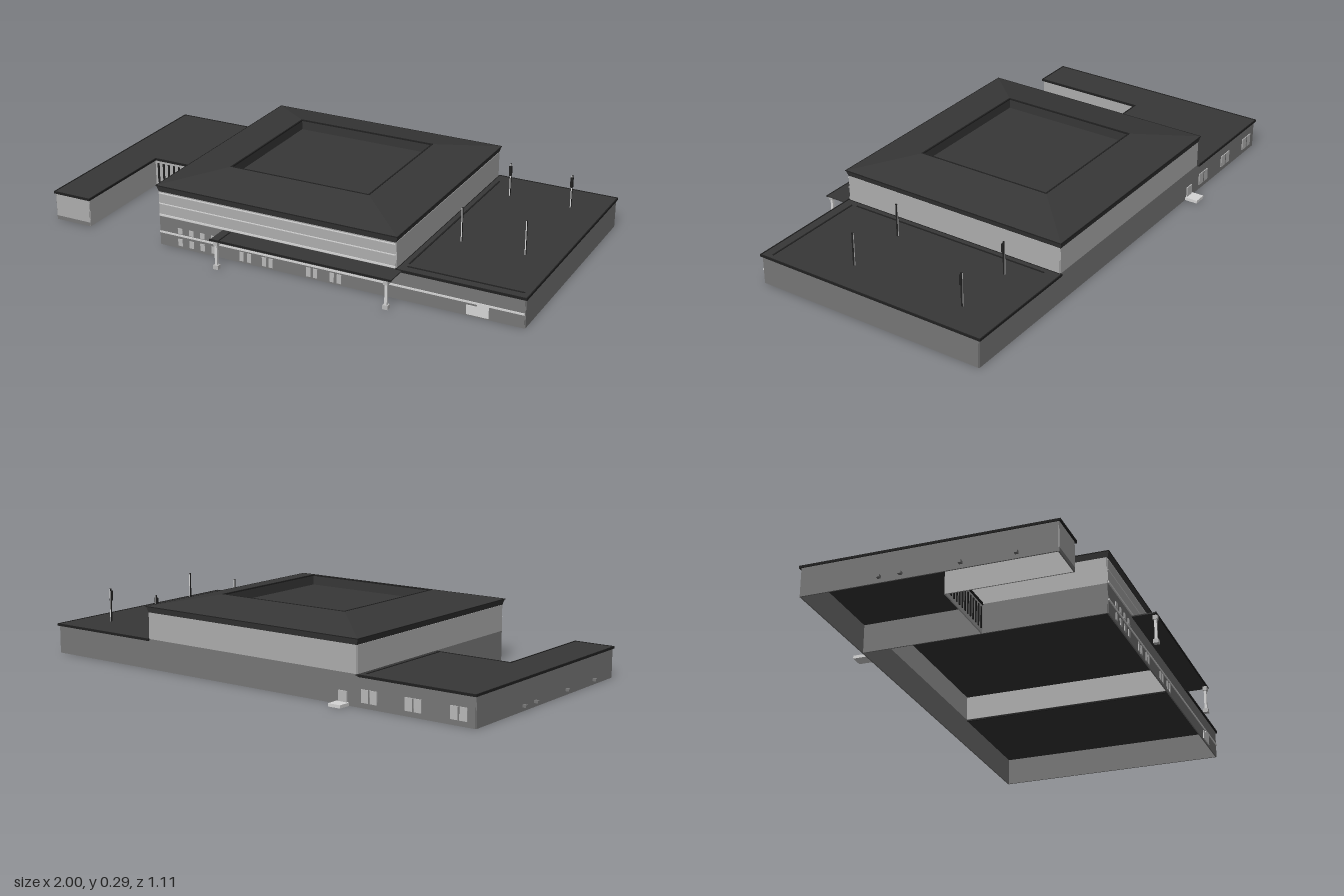
import * as THREE from 'three';

const mat = (name, color, side = THREE.FrontSide) => {
  const m = new THREE.MeshStandardMaterial({ color, side });
  m.name = name;
  return m;
};

export function createModel() {
  const roofMat = mat('roof charcoal', 0x373737);
  const trimMat = mat('dark trim', 0x202020);
  const wallMat = mat('lower wall grey', 0x777777);
  const upperMat = mat('upper wall grey', 0xadadad);
  const paleMat = mat('pale trim', 0xd6d6d6);
  const glassMat = mat('window grey', 0xb9b9b9);

  const model = new THREE.Group();
  model.name = 'hall';
  const group = (name) => {
    const g = new THREE.Group();
    g.name = name;
    model.add(g);
    return g;
  };
  // box given by its limits on each axis
  const box = (parent, name, x0, x1, y0, y1, z0, z1, m) => {
    const mesh = new THREE.Mesh(new THREE.BoxGeometry(x1 - x0, y1 - y0, z1 - z0), m);
    mesh.position.set((x0 + x1) / 2, (y0 + y1) / 2, (z0 + z1) / 2);
    mesh.name = name;
    parent.add(mesh);
    return mesh;
  };
  const T = 0.005;
  // thin walls, one along x and one along z
  const wallX = (p, name, x0, x1, z, y0, y1, m) => box(p, name, x0, x1, y0, y1, z - T / 2, z + T / 2, m);
  const wallZ = (p, name, x, z0, z1, y0, y1, m) => box(p, name, x - T / 2, x + T / 2, y0, y1, z0, z1, m);
  // four strips lying around a rectangle
  const frame = (p, name, x0, x1, z0, z1, y0, y1, w, m) => {
    for (const z of [z0, z1 - w]) box(p, name, x0, x1, y0, y1, z, z + w, m);
    for (const x of [x0, x1 - w]) box(p, name, x, x + w, y0, y1, z0 + w, z1 - w, m);
  };

  const EAVE = 0.113, DECK = 0.118;
  const BACK = -0.5, FRONT = 0.453;

  // main hall walls
  const hall = group('mainHall');
  for (const z of [BACK, FRONT]) {
    wallX(hall, 'hallLowerWall', -0.49, 0.5, z, 0, DECK, wallMat);
    wallX(hall, 'hallUpperWall', -0.49, 0.5, z, DECK, 0.222, upperMat);
  }
  wallZ(hall, 'hallLeftLowerWall', -0.49, BACK, FRONT, 0, DECK, wallMat);
  for (const x of [-0.49, 0.5]) wallZ(hall, 'hallSideUpperWall', x, BACK, FRONT, DECK, 0.222, upperMat);

  // hipped roof with a sunken flat centre, from stacked rectangles
  const loops = [
    [-0.49, 0.5, -0.502, 0.456, 0.22],
    [-0.498, 0.508, -0.508, 0.463, 0.245],
    [-0.288, 0.296, -0.305, 0.26, 0.287],
    [-0.285, 0.293, -0.302, 0.257, 0.287],
    [-0.285, 0.293, -0.302, 0.257, 0.247],
  ].map(([x0, x1, z0, z1, y]) => [[x0, y, z1], [x1, y, z1], [x1, y, z0], [x0, y, z0]]);
  const pos = [];
  const quad = (a, b, c, d) => pos.push(...a, ...b, ...c, ...a, ...c, ...d);
  for (let i = 0; i + 1 < loops.length; i++)
    for (let k = 0; k < 4; k++) {
      const n = (k + 1) % 4;
      quad(loops[i][k], loops[i][n], loops[i + 1][n], loops[i + 1][k]);
    }
  quad(...loops[loops.length - 1]);
  quad(...[...loops[0]].reverse());
  const roofGeo = new THREE.BufferGeometry();
  roofGeo.setAttribute('position', new THREE.Float32BufferAttribute(pos, 3));
  roofGeo.computeVertexNormals();
  const roof = new THREE.Mesh(roofGeo, roofMat);
  roof.name = 'mainRoof';
  hall.add(roof);
  frame(hall, 'roofWellEdge', -0.29, 0.298, -0.307, 0.262, 0.283, 0.288, 0.006, trimMat);
  frame(hall, 'eaveLine', -0.499, 0.509, -0.509, 0.464, 0.243, 0.246, 0.003, trimMat);

  // low wing at +x
  const wing = group('lowWing');
  for (const z of [BACK, FRONT]) wallX(wing, 'wingWall', 0.5, 0.992, z, 0, EAVE, wallMat);
  wallZ(wing, 'wingEndWall', 0.992, BACK, FRONT, 0, EAVE, wallMat);
  box(wing, 'wingRoof', 0.5, 0.997, EAVE, DECK, -0.508, 0.46, roofMat);
  frame(wing, 'wingRoofEdge', 0.5, 0.999, -0.51, 0.462, EAVE - 0.002, DECK + 0.002, 0.004, trimMat);
  box(wing, 'sideGutter', 0.524, 0.53, DECK, DECK + 0.002, -0.45, 0.4, trimMat);
  box(wing, 'frontGutter', 0.53, 0.975, DECK, DECK + 0.002, 0.418, 0.424, trimMat);

  // roof masts, pale faced with dark sides
  for (const x of [0.615, 0.865])
    for (const z of [-0.34, 0.135]) {
      const sides = [trimMat, trimMat, trimMat, trimMat, paleMat, paleMat];
      box(wing, 'mast', x - 0.002, x + 0.002, DECK, 0.252, z - 0.004, z + 0.004, sides);
      if (z < 0) box(wing, 'mastHead', x - 0.005, x + 0.005, 0.203, 0.243, z - 0.002, z + 0.008, trimMat);
    }

  // L-shaped wing at -x
  const ell = group('ellWing');
  wallX(ell, 'ellBackWall', -0.98, -0.49, BACK, 0, EAVE, wallMat);
  wallZ(ell, 'ellOuterWall', -0.98, BACK, 0.445, 0, EAVE, wallMat);
  wallX(ell, 'ellEndWall', -0.98, -0.825, 0.445, 0.016, EAVE, upperMat);
  wallX(ell, 'ellEndPlinth', -0.98, -0.825, 0.445, 0, 0.016, wallMat);
  wallZ(ell, 'ellInnerWall', -0.825, -0.025, 0.445, 0, EAVE, upperMat);
  wallX(ell, 'courtWall', -0.825, -0.49, -0.025, 0, EAVE, upperMat);
  box(ell, 'ellRoof', -0.984, -0.49, EAVE, DECK, -0.508, -0.02, roofMat);
  box(ell, 'ellArmRoof', -0.984, -0.82, EAVE, DECK, -0.02, 0.452, roofMat);
  const edge = (x0, x1, z0, z1) => box(ell, 'ellRoofEdge', x0, x1, EAVE - 0.002, DECK + 0.002, z0, z1, trimMat);
  edge(-0.986, -0.5, -0.51, -0.506);
  edge(-0.986, -0.982, -0.506, 0.454);
  edge(-0.982, -0.818, 0.45, 0.454);
  edge(-0.822, -0.818, -0.018, 0.45);
  edge(-0.822, -0.5, -0.022, -0.018);
  box(ell, 'ellGutter', -0.518, -0.513, DECK, DECK + 0.002, -0.48, -0.022, trimMat);
  for (let i = 0; i < 13; i++) {
    const x = -0.807 + i * 0.0248;
    box(ell, 'courtBar', x - 0.004, x + 0.004, 0.015, 0.1, -0.023, -0.019, trimMat);
  }
  for (const x of [-0.545, -0.73, -0.915]) {
    box(ell, 'backWindow', x - 0.034, x + 0.034, 0.02, 0.068, -0.506, -0.502, glassMat);
    box(ell, 'backWindowBar', x - 0.003, x + 0.003, 0.02, 0.068, -0.507, -0.506, wallMat);
  }
  for (const z of [-0.2, -0.12, 0.1, 0.3])
    box(ell, 'wallVent', -0.998, -0.98, 0.015, 0.025, z - 0.006, z + 0.006, wallMat);

  // front canopy on two posts
  const canopy = group('canopy');
  box(canopy, 'canopyRoof', -0.212, 0.525, EAVE, DECK, 0.455, 0.546, roofMat);
  box(canopy, 'canopyFascia', -0.214, 0.527, EAVE - 0.001, DECK + 0.001, 0.546, 0.55, trimMat);
  box(canopy, 'canopySeam', -0.178, -0.174, DECK, DECK + 0.002, 0.463, 0.546, trimMat);
  for (const x of [-0.19, 0.505]) {
    const block = (name, r, y0, y1, m) => box(canopy, name, x - r, x + r, y0, y1, 0.541 - r, 0.541 + r, m);
    block('postBase', 0.01, 0, 0.016, glassMat);
    block('post', 0.005, 0.016, 0.096, paleMat);
    block('postCapital', 0.009, 0.096, EAVE, glassMat);
  }

  // painted bands, windows and doors on the front
  const front = group('frontDetails');
  const plate = (name, x0, x1, y0, y1, m) => box(front, name, x0, x1, y0, y1, 0.455, 0.459, m);
  plate('lowerBand', -0.49, 0.992, 0.051, 0.058, paleMat);
  plate('middleBand', -0.49, 0.5, 0.121, 0.128, paleMat);
  for (const y of [0.17, 0.212]) plate('upperBand', -0.49, 0.5, y, y + 0.003, paleMat);
  for (const x of [-0.4, -0.35, -0.302, -0.253]) {
    plate('upperWindow', x - 0.01, x + 0.01, 0.062, 0.084, glassMat);
    plate('lowerWindow', x - 0.01, x + 0.01, 0.012, 0.04, glassMat);
  }
  for (const x of [-0.132, -0.1, -0.036, -0.008, 0.15, 0.178, 0.246, 0.276])
    plate('door', x - 0.009, x + 0.009, 0.008, 0.044, glassMat);
  plate('gateLow', 0.775, 0.815, 0.006, 0.042, paleMat);
  plate('gateHigh', 0.815, 0.86, 0.006, 0.055, paleMat);

  // back door with its step
  const entry = group('backEntry');
  box(entry, 'step', -0.458, -0.405, 0, 0.012, -0.555, -0.502, paleMat);
  box(entry, 'backDoor', -0.45, -0.413, 0.012, 0.052, -0.507, -0.502, glassMat);

  return model;
}
